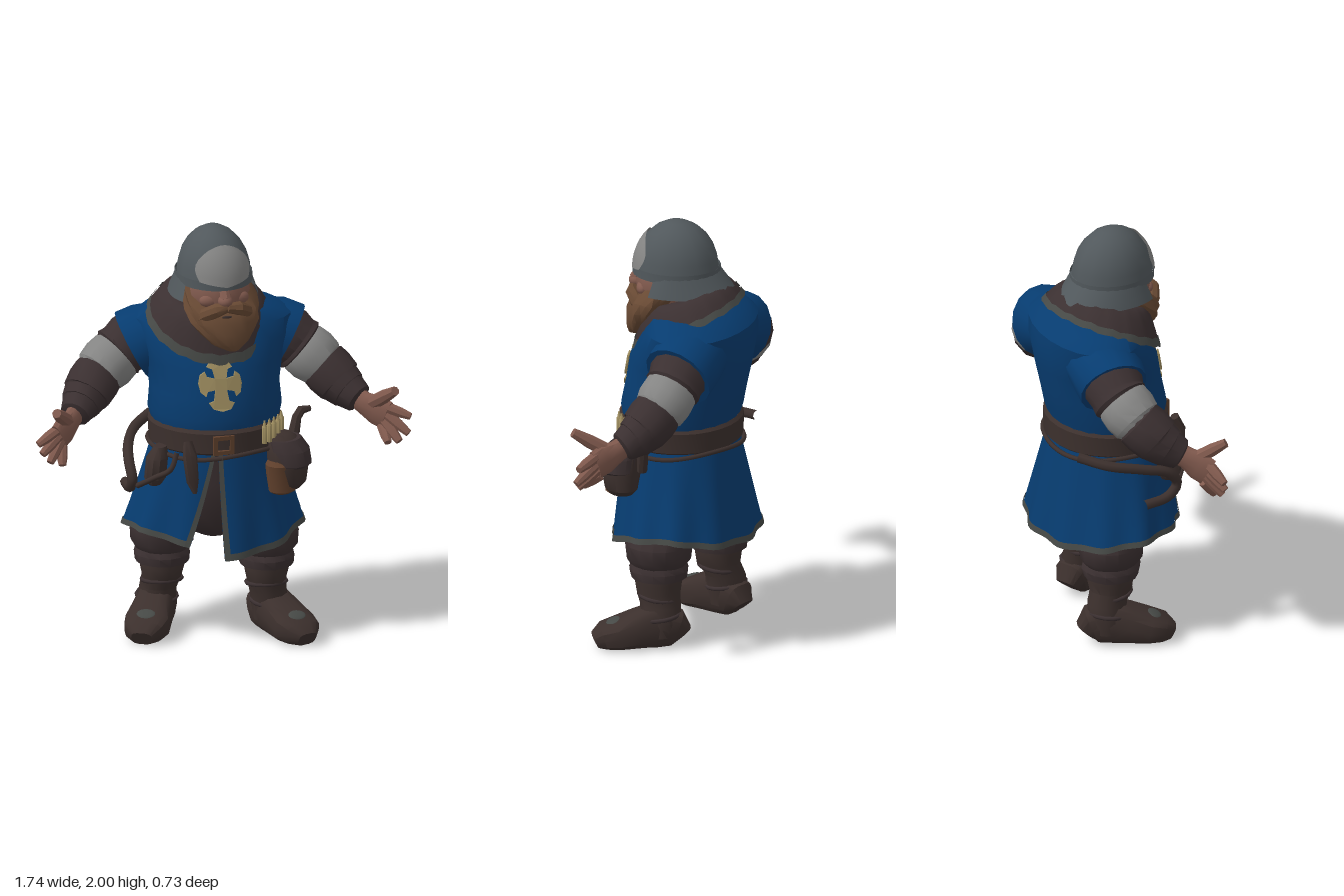
import * as THREE from 'three';
import { toCreasedNormals } from 'three/addons/utils/BufferGeometryUtils.js';

const V = (x, y, z) => new THREE.Vector3(x, y, z);
const mix = THREE.MathUtils.lerp;

export function createModel() {
  const model = new THREE.Group();
  model.name = 'warrior';
  const mat = (name, color, open) => {
    const m = new THREE.MeshStandardMaterial({ color });
    m.name = name;
    if (open) m.side = THREE.DoubleSide;
    return m;
  };
  const blue = mat('blueCloth', 0x073c70, true), dark = mat('darkCloth', 0x3b3031, true);
  const brown = mat('brownLeather', 0x3c302d), leather = mat('tanLeather', 0x60402c);
  const steel = mat('helmetSteel', 0x51585c, true), pale = mat('paleSteel', 0x858584, true);
  const skin = mat('skin', 0x815a4e), hair = mat('beardHair', 0x694a34);
  const tan = mat('paleGold', 0x9c8b5e), trim = mat('greyTrim', 0x464946, true);

  const add = (name, geo, m) => {
    const mesh = new THREE.Mesh(geo, m);
    mesh.name = name;
    model.add(mesh);
    return mesh;
  };
  const build = (pos, idx) => {
    const g = new THREE.BufferGeometry();
    g.setAttribute('position', new THREE.Float32BufferAttribute(pos, 3));
    g.setIndex(idx);
    return toCreasedNormals(g, 0.65);
  };
  // Skin closed rings of points, with both ends capped
  const loft = rings => {
    const n = rings[0].length, pos = [], idx = [];
    rings.forEach(r => r.forEach(p => pos.push(p.x, p.y, p.z)));
    for (let i = 0; i < rings.length - 1; i++) for (let j = 0; j < n; j++) {
      const a = i * n + j, b = i * n + (j + 1) % n;
      idx.push(a, b, a + n, b, b + n, a + n);
    }
    [0, rings.length - 1].forEach((i, end) => {
      const c = V(0, 0, 0);
      rings[i].forEach(p => c.addScaledVector(p, 1 / n));
      const k = pos.push(c.x, c.y, c.z) / 3 - 1;
      for (let j = 0; j < n; j++) {
        const a = i * n + j, b = i * n + (j + 1) % n;
        end ? idx.push(k, a, b) : idx.push(k, b, a);
      }
    });
    return build(pos, idx);
  };
  // Upright body from rows of [y, cx, cz, rx, rz]
  const body = (rows, yaw = 0, n = 20, wave = 0) => loft(rows.map(([y, cx, cz, rx, rz], i) =>
    Array.from({ length: n }, (_, j) => {
      const a = j / n * Math.PI * 2, k = 1 + wave * Math.sin(j * 2.4 + i * 1.7);
      return V(rx * k * Math.sin(a), 0, rz * k * Math.cos(a)).applyAxisAngle(V(0, 1, 0), yaw).add(V(cx, y, cz));
    })));
  // Limb along points of [x, y, z, side radius, up radius]; power below 1 squares the section
  const limb = (pts, n = 12, power = 1) => {
    const P = pts.map(p => V(p[0], p[1], p[2])), last = P.length - 1;
    const ref = Math.abs(P[last].clone().sub(P[0]).normalize().y) > 0.85 ? V(0, 0, 1) : V(0, 1, 0);
    const sq = c => Math.sign(c) * Math.abs(c) ** power;
    return loft(P.map((p, i) => {
      const T = P[Math.min(i + 1, last)].clone().sub(P[Math.max(i - 1, 0)]).normalize();
      const U = ref.clone().cross(T).normalize(), W = T.clone().cross(U);
      const [, , , r, r2 = r] = pts[i];
      return Array.from({ length: n }, (_, j) => {
        const a = j / n * Math.PI * 2;
        return p.clone().addScaledVector(U, r * sq(Math.cos(a))).addScaledVector(W, r2 * sq(Math.sin(a)));
      });
    }));
  };
  // Open sheet from a function of u and v
  const sheet = (fn, u0, u1, v0, v1, nu, nv) => {
    const pos = [], idx = [], w = nu + 1;
    for (let j = 0; j <= nv; j++) for (let i = 0; i <= nu; i++) {
      const p = fn(mix(u0, u1, i / nu), mix(v0, v1, j / nv));
      pos.push(p.x, p.y, p.z);
      if (i < nu && j < nv) { const a = j * w + i; idx.push(a, a + 1, a + w, a + 1, a + w + 1, a + w); }
    }
    return build(pos, idx);
  };
  const tube = (pts, r, n = 24) => new THREE.TubeGeometry(
    new THREE.CatmullRomCurve3(pts.map(p => V(...p))), n, r, 8);
  const caster = new THREE.Raycaster();
  const frontOf = (mesh, x, y) => {
    caster.set(V(x, y, 2), V(0, 0, -1));
    const hit = caster.intersectObject(mesh)[0];
    return hit ? hit.point.z : 0.2;
  };

  // Tunic, hips and belt
  const yaw = -0.2;
  const torso = add('tunicBody', body([
    [0.96, 0.01, 0, 0.28, 0.25], [1.06, 0.01, 0, 0.295, 0.265], [1.12, 0.01, -0.005, 0.312, 0.28],
    [1.22, 0.015, -0.025, 0.302, 0.28], [1.35, 0.02, -0.05, 0.322, 0.282], [1.45, 0.025, -0.08, 0.36, 0.262],
    [1.53, 0.03, -0.1, 0.37, 0.235], [1.58, 0.02, -0.09, 0.31, 0.2], [1.63, 0, -0.06, 0.16, 0.12]], yaw, 24), blue);
  add('hips', body([[0.49, 0.01, -0.03, 0.08, 0.1], [0.56, 0, -0.03, 0.22, 0.2], [0.66, 0, -0.03, 0.29, 0.25],
    [0.8, 0, -0.02, 0.29, 0.255], [0.98, 0.01, 0, 0.27, 0.24]], yaw), dark);
  const belt = add('belt', body([[0.955, 0.01, 0, 0.295, 0.27], [0.965, 0.01, 0, 0.308, 0.282],
    [1.06, 0.01, 0, 0.312, 0.284], [1.075, 0.01, 0, 0.295, 0.27]], yaw, 28), brown);
  const rope = Array.from({ length: 25 }, (_, i) => {
    const a = i / 24 * Math.PI * 2;
    const p = V(0.312 * Math.sin(a), 0.945 + 0.012 * Math.sin(a * 3), 0.285 * Math.cos(a)).applyAxisAngle(V(0, 1, 0), yaw);
    return [p.x + 0.01, p.y, p.z];
  });
  add('beltRope', tube(rope, 0.011, 48), brown);

  const rect = (w, h) => [[-w, -h], [w, -h], [w, h], [-w, h]].map(p => new THREE.Vector2(...p));
  const buckle = new THREE.Shape(rect(0.05, 0.045));
  buckle.holes.push(new THREE.Path(rect(0.03, 0.026)));
  add('buckle', new THREE.ExtrudeGeometry(buckle, { depth: 0.02, bevelEnabled: false }), leather)
    .position.set(-0.04, 1.01, frontOf(belt, -0.04, 1.01) - 0.005);

  // Pleated skirt with a front slit, dark lining and bordered hem
  const hem = [0.45, 0.48, 0.54, 0.56, 0.52, 0.5, 0.5, 0.52, 0.55, 0.56, 0.52];
  const skirt = off => (u, v) => {
    const a = mix(mix(-0.1, 0, v), Math.PI * 2 - mix(0.12, 0.39, v), u);
    const k = Math.min(u * 10, 9.999), i = Math.floor(k);
    const pleat = 1 + 0.03 * v * Math.sin(a * 11), rx = mix(0.285, 0.415, v) * pleat + off, rz = mix(0.26, 0.33, v) * pleat + off;
    return V(rx * Math.sin(a), 0, rz * Math.cos(a)).applyAxisAngle(V(0, 1, 0), -0.15)
      .add(V(0.01, mix(0.99, mix(hem[i], hem[i + 1], k - i), v), -0.025 * v));
  };
  add('skirt', sheet(skirt(0), 0, 1, 0, 1, 80, 6), blue);
  add('skirtLining', sheet(skirt(-0.008), 0, 1, 0, 0.99, 80, 6), dark);
  add('skirtHem', sheet(skirt(0.005), 0, 1, 0.945, 1.005, 80, 1), trim);
  add('slitBorderLeft', sheet(skirt(0.005), 0, 0.011, 0, 1, 1, 6), trim);
  add('slitBorderRight', sheet(skirt(0.005), 0.99, 1, 0, 1, 1, 6), trim);

  // Flared cross laid on the chest
  const outline = [];
  [[0.098, 0], [0.11, 1], [0.098, 2], [0.125, 3]].forEach(([len, q]) => {
    [[0.026, -0.026], [len * 0.62, -0.034], [len * 0.7, -0.058], [len * 0.92, -0.04], [len, 0],
      [len * 0.92, 0.04], [len * 0.7, 0.058], [len * 0.62, 0.034]].forEach(([x, y]) =>
      outline.push(new THREE.Vector2(x, y).rotateAround(new THREE.Vector2(), q * Math.PI / 2)));
  });
  const cross = new THREE.ExtrudeGeometry(new THREE.Shape(outline), { depth: 0.009, bevelEnabled: false });
  cross.translate(-0.04, 1.295, 0);
  const cp = cross.attributes.position;
  for (let i = 0; i < cp.count; i++) cp.setZ(i, cp.getZ(i) + frontOf(torso, cp.getX(i), cp.getY(i)) + 0.004);
  cross.computeVertexNormals();
  add('chestCross', cross, tan);

  // Fur cowl around the neck
  const cowl = off => (a, s) => V(mix(0.13, 0.295, s) * Math.sin(a),
    mix(1.635 - 0.03 * Math.cos(a), 1.545 - 0.125 * Math.cos(a) - 0.02 * Math.cos(a) ** 2, s) + 0.06 * Math.sin(Math.PI * s) + off
      + 0.005 * s * Math.sin(a * 17),
    mix(0.02, -0.03, s) + (mix(0.13, 0.245, s) + off) * Math.cos(a));
  add('cowl', sheet(cowl(0), 0, Math.PI * 2, 0, 1, 48, 6), dark);
  add('cowlTrim', sheet(cowl(0.005), 0, Math.PI * 2, 0.94, 1.06, 48, 2), trim);

  // Head, nose, beard and moustache
  const ball = (name, m, x, y, z, sx, sy, sz) => {
    const b = add(name, new THREE.SphereGeometry(1, 16, 12), m);
    b.position.set(x, y, z);
    b.scale.set(sx, sy, sz);
    return b;
  };
  ball('head', skin, 0, 1.7, 0.05, 0.155, 0.16, 0.165);
  ball('nose', skin, -0.01, 1.69, 0.215, 0.035, 0.03, 0.038);
  add('noseBridge', limb([[-0.01, 1.76, 0.19, 0.02], [-0.01, 1.7, 0.222, 0.028]], 8), skin);
  [-1, 1].forEach(s => ball('cheek', skin, s * 0.065, 1.685, 0.165, 0.055, 0.035, 0.035));
  add('beard', body([[1.45, 0.025, 0.215, 0.03, 0.03], [1.48, 0.015, 0.2, 0.085, 0.055], [1.53, 0.01, 0.175, 0.13, 0.08],
    [1.58, 0.008, 0.15, 0.162, 0.1], [1.63, 0.008, 0.12, 0.175, 0.11], [1.67, 0.005, 0.08, 0.172, 0.11],
    [1.73, 0, 0.055, 0.16, 0.09]], 0, 22, 0.05), hair);
  [-1, 1].forEach(s => add('moustache', limb([[-0.005, 1.66, 0.23, 0.022], [s * 0.05, 1.652, 0.222, 0.034],
    [s * 0.1, 1.62, 0.188, 0.034], [s * 0.135, 1.575, 0.155, 0.015]], 8), hair));
  ball('mouth', brown, 0, 1.616, 0.226, 0.04, 0.01, 0.012);

  // Helmet dome, pale brow plate and flared neck guard
  const dome = off => (a, t) => {
    const r = Math.cos(t * Math.PI / 2);
    return V(-0.005 + (0.172 * r + off) * Math.sin(a), 1.76 + 0.24 * Math.sin(t * Math.PI / 2), 0.025 + (0.2 * r + off) * Math.cos(a));
  };
  add('helmetDome', sheet(dome(0), 0, Math.PI * 2, 0, 1, 14, 6), steel);
  add('helmetRim', sheet(dome(0.006), 0, Math.PI * 2, -0.04, 0.07, 28, 1), steel);
  add('browPlate', sheet((u, v) => dome(0.009)(u * (0.8 + 0.25 * Math.sin(Math.PI * v) - 0.15 * v),
    mix(0.07 - 0.07 * (1 - Math.abs(u)), 0.56 - 0.12 * u * u, v)), -0.9, 0.9, 0, 1, 12, 6), pale);
  add('neckGuard', sheet((a, t) => V(-0.005 + mix(0.172, 0.205, t) * Math.sin(a), mix(1.78, 1.675, t),
    0.025 + mix(0.195, 0.275, t) * Math.cos(a) * (Math.cos(a) > 0 ? 0.8 : 1)), 1.1, Math.PI * 2 - 1.1, 0, 1, 24, 3), steel);

  // Arms and hands, posed separately for each side
  [{
    side: 'left', cap: [[0.2, 1.44, -0.1, 0.17, 0.14], [0.33, 1.405, -0.08, 0.172, 0.165], [0.385, 1.375, -0.06, 0.165, 0.172]],
    arm: [[0.34, 1.42, -0.08], [0.43, 1.345, -0.05], [0.53, 1.255, 0], [0.61, 1.16, 0.075], [0.68, 1.1, 0.165]],
    knuckles: [0.765, 1.055, 0.25], thumb: [0.77, 1.21, 0.355],
    tips: [[0.86, 1.06, 0.31], [0.845, 0.985, 0.325], [0.8, 0.95, 0.325], [0.75, 0.945, 0.31]],
  }, {
    side: 'right', cap: [[-0.15, 1.44, -0.16, 0.17, 0.14], [-0.27, 1.4, -0.19, 0.168, 0.165], [-0.325, 1.37, -0.205, 0.16, 0.172]],
    arm: [[-0.28, 1.42, -0.2], [-0.38, 1.345, -0.215], [-0.49, 1.26, -0.19], [-0.59, 1.16, -0.12], [-0.67, 1.1, -0.04]],
    knuckles: [-0.755, 1.04, 0.02], thumb: [-0.79, 1.185, 0.095],
    tips: [[-0.86, 1.02, 0.035], [-0.845, 0.975, 0.05], [-0.81, 0.935, 0.06], [-0.75, 0.915, 0.06]],
  }].forEach(({ side, cap, arm, knuckles, thumb, tips }) => {
    const at = (i, f, ...r) => [...arm[i].map((c, k) => mix(c, arm[i + 1][k], f)), ...r];
    add(side + 'ShoulderCap', limb(cap, 16), blue);
    add(side + 'UpperSleeve', limb([at(0, 0, 0.135), at(0, 0.5, 0.142), at(0, 0.9, 0.13), at(1, 0.08, 0.136), at(1, 0.18, 0.12)], 14), dark);
    add(side + 'MailSleeve', limb([at(1, 0.02, 0.115), at(1, 0.2, 0.128), at(1, 0.6, 0.132), at(1, 0.98, 0.122), at(2, 0.12, 0.1)], 14), pale);
    add(side + 'Bracer', limb([at(1, 0.96, 0.1), at(2, 0.04, 0.118), at(2, 0.35, 0.122), at(2, 0.8, 0.115), at(2, 0.87, 0.106),
      at(3, 0.25, 0.095), at(3, 0.3, 0.088), at(3, 0.75, 0.072), at(3, 0.82, 0.05)], 12), dark);
    add(side + 'Palm', limb([at(3, 0.55, 0.042, 0.052), [...arm[4], 0.038, 0.056],
      [...arm[4].map((c, k) => mix(c, knuckles[k], 0.55)), 0.036, 0.077], [...knuckles, 0.029, 0.074]], 12), skin);
    const finger = (from, to, r) => limb([[...from, r], [...from.map((c, k) => mix(c, to[k], 0.55)), r * 0.95], [...to, r * 0.65]], 8);
    tips.forEach((tip, i) => {
      const root = knuckles.map((c, k) => mix(c, arm[4][k], i * 0.07));
      root[1] += 0.04 - i * 0.034;
      add(side + 'Finger', finger(root, tip, 0.027), skin);
    });
    add(side + 'Thumb', finger(arm[4].map((c, k) => mix(c, knuckles[k], 0.35) + (k === 1 ? 0.02 : 0)), thumb, 0.034), skin);
  });

  // Trousers, boots and feet
  [{ side: 'left', hip: [0.14, 0.02], knee: [0.24, 0.06], ankle: [0.265, 0.05], turn: 0.28 },
    { side: 'right', hip: [-0.13, -0.07], knee: [-0.205, -0.13], ankle: [-0.22, -0.16], turn: -0.55 }].forEach(({ side, hip, knee, ankle, turn }) => {
    const [kx, kz] = knee, [ax, az] = ankle;
    add(side + 'Trouser', body([[0.325, kx, kz, 0.09, 0.1], [0.335, kx, kz, 0.125, 0.13], [0.375, kx, kz, 0.132, 0.14], [0.4, kx, kz, 0.122, 0.13],
      [0.43, kx, kz, 0.142, 0.15], [0.5, kx, kz, 0.15, 0.158], [0.56, mix(kx, hip[0], 0.3), mix(kz, hip[1], 0.3), 0.15, 0.158],
      [0.75, ...hip, 0.145, 0.17]], 0, 16, 0.02), dark);
    add(side + 'BootShaft', body([[0.06, ax, az, 0.085, 0.09], [0.13, ax, az, 0.09, 0.1], [0.2, mix(ax, kx, 0.5), az, 0.086, 0.095],
      [0.26, kx, kz, 0.093, 0.102], [0.31, kx, kz, 0.103, 0.112], [0.36, kx, kz, 0.1, 0.11]], 0, 14, 0.025), brown);
    const sx = Math.sin(turn), cz = Math.cos(turn);
    add(side + 'Foot', limb([[-0.1, 0.05, 0.1], [-0.075, 0.078, 0.16], [0.02, 0.088, 0.2], [0.1, 0.096, 0.165],
      [0.19, 0.108, 0.125], [0.26, 0.092, 0.1], [0.3, 0.05, 0.06]].map(([t, w, h]) =>
      [ax + sx * t, h / 2 + 0.006, az + cz * t, w, h / 2 + 0.006]), 14, 0.65), brown);
    const patch = ball(side + 'ToePatch', trim, ax + sx * 0.215, 0.128, az + cz * 0.215, 0.045, 0.009, 0.036);
    patch.rotation.set(0.34, turn, 0, 'YXZ');
    [0.15, 0.24].forEach((y, i) => {
      const strap = add(side + 'BootStrap', new THREE.TorusGeometry(0.093, 0.01, 6, 16), dark);
      strap.rotation.x = Math.PI / 2 + 0.12 - i * 0.25;
      strap.position.set(mix(ax, kx, i), y, mix(az, kz, i));
    });
  });

  // Left hip: pouch, pocket, cartridges and curved grip
  add('pouch', body([[0.75, 0.285, 0.225, 0.065, 0.055], [0.78, 0.29, 0.225, 0.095, 0.078], [0.86, 0.29, 0.225, 0.105, 0.09],
    [0.94, 0.285, 0.22, 0.1, 0.085], [0.99, 0.27, 0.2, 0.075, 0.065], [1.01, 0.26, 0.19, 0.05, 0.05]], 0.5, 14), brown);
  add('pouchFlap', body([[0.86, 0.305, 0.235, 0.075, 0.075], [0.875, 0.305, 0.235, 0.1, 0.092], [0.94, 0.295, 0.23, 0.102, 0.09],
    [0.99, 0.28, 0.21, 0.085, 0.07]], 0.5, 12), dark);
  add('pouchPocket', body([[0.738, 0.255, 0.245, 0.05, 0.045], [0.75, 0.255, 0.245, 0.068, 0.062],
    [0.88, 0.245, 0.25, 0.072, 0.066], [0.9, 0.245, 0.245, 0.06, 0.052]], 0.4, 12), leather);
  for (let i = 0; i < 5; i++) {
    const x = 0.165 + i * 0.029, z = frontOf(belt, x, 1.03) + 0.012;
    add('cartridge', body([[0.99, x, z, 0.013, 0.013], [1.07, x, z, 0.013, 0.013], [1.075, x, z, 0.009, 0.009],
      [1.1, x, z, 0.004, 0.004]], 0, 8), tan);
  }
  add('curvedGrip', limb([[0.33, 0.88, 0.12, 0.025], [0.36, 0.98, 0.11, 0.026], [0.375, 1.04, 0.1, 0.022],
    [0.4, 1.07, 0.09, 0.022], [0.445, 1.07, 0.08, 0.014]], 8), brown);

  // Right hip: hooked horn, sheath and small bag
  add('horn', tube([[-0.2, 0.99, -0.315], [-0.31, 0.96, -0.22], [-0.385, 0.93, -0.08], [-0.42, 0.89, 0.04],
    [-0.42, 0.82, 0.09], [-0.415, 0.765, 0.04], [-0.4, 0.75, -0.08]], 0.024, 32), brown);
  add('sheath', limb([[-0.2, 1.03, 0.24, 0.022], [-0.2, 0.97, 0.27, 0.035, 0.02], [-0.19, 0.85, 0.28, 0.03, 0.018], [-0.18, 0.79, 0.285, 0.01]], 8), brown);
  add('sideBag', body([[0.8, -0.32, 0.12, 0.03, 0.04], [0.83, -0.32, 0.12, 0.05, 0.06], [0.93, -0.31, 0.12, 0.05, 0.06],
    [0.98, -0.29, 0.11, 0.03, 0.04]], -0.6, 10), brown);
  add('sheathStrap', tube([[-0.25, 0.98, 0.23], [-0.28, 0.9, 0.23], [-0.34, 0.85, 0.18], [-0.4, 0.79, 0.1]], 0.013), brown);

  return model;
}
